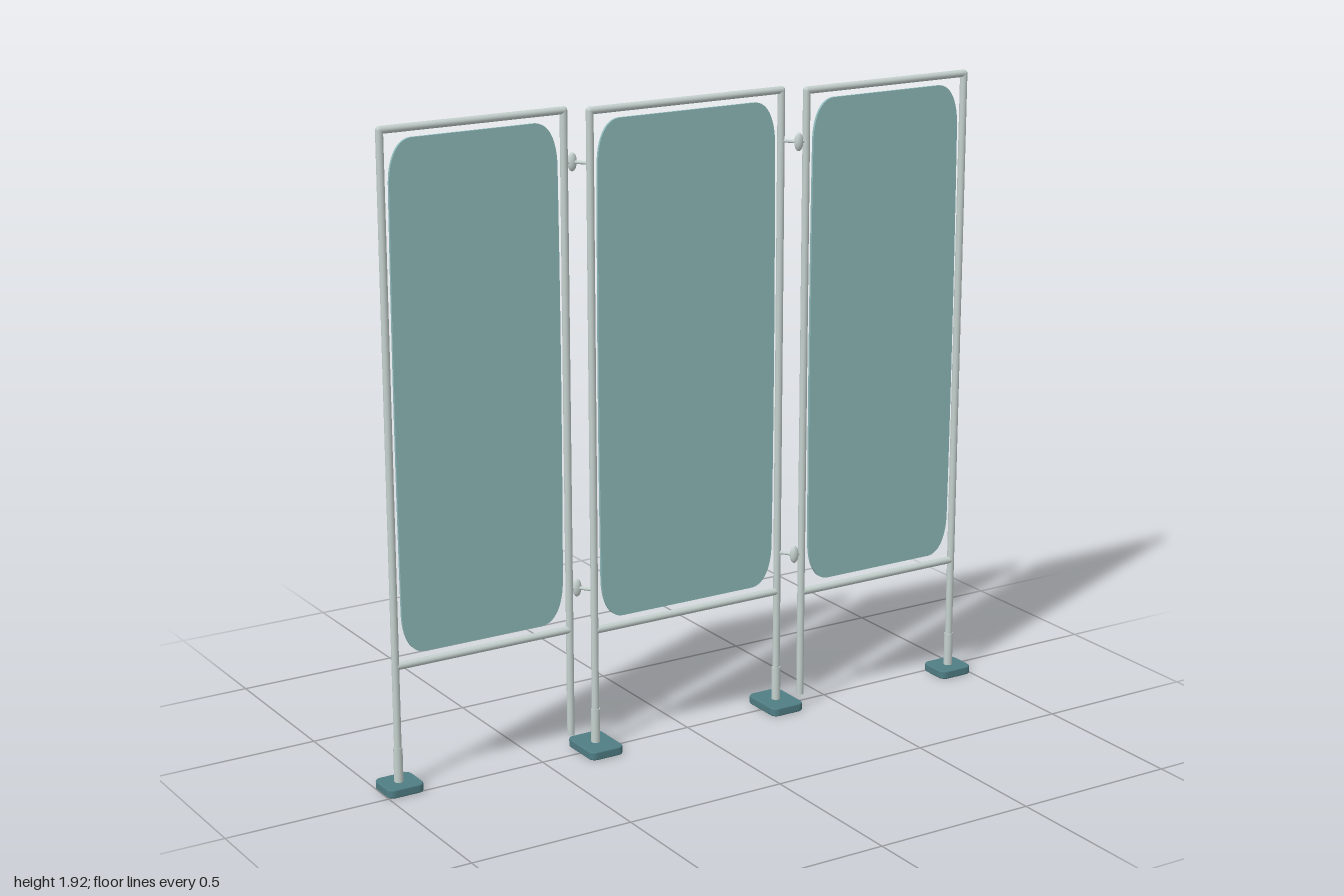
import * as THREE from 'three';

const metal = new THREE.MeshStandardMaterial({ color: 0xc4d0cd });
const cloth = new THREE.MeshStandardMaterial({ color: 0x8fbabb });
const rubber = new THREE.MeshStandardMaterial({ color: 0x4f7d84 });

const R = 0.011, TOP = 1.908, LOW = 0.375;

function add(parent, name, geometry, material, x = 0, y = 0, z = 0) {
  const mesh = new THREE.Mesh(geometry, material);
  mesh.name = name;
  mesh.position.set(x, y, z);
  parent.add(mesh);
  return mesh;
}

// Round rod between two points
function rod(parent, name, a, b, radius, material = metal) {
  const from = new THREE.Vector3(...a), to = new THREE.Vector3(...b);
  const dir = to.clone().sub(from);
  const mesh = add(parent, name, new THREE.CylinderGeometry(radius, radius, dir.length(), 20), material);
  mesh.position.copy(from).add(to).multiplyScalar(0.5);
  mesh.quaternion.setFromUnitVectors(new THREE.Vector3(0, 1, 0), dir.normalize());
  return mesh;
}

// Rectangle with soft corners, rx wide and ry high, and slightly bowed sides
function softRect(w, h, rx, ry, bow = 0) {
  const s = new THREE.Shape(), x = w / 2, y = h / 2;
  s.moveTo(-x + rx, -y);
  s.lineTo(x - rx, -y);
  s.bezierCurveTo(x - rx * 0.4, -y, x - bow, -y + ry * 0.4, x - bow, -y + ry);
  s.quadraticCurveTo(x + bow, 0, x - bow, y - ry);
  s.bezierCurveTo(x - bow, y - ry * 0.4, x - rx * 0.4, y, x - rx, y);
  s.lineTo(-x + rx, y);
  s.bezierCurveTo(-x + rx * 0.4, y, -x + bow, y - ry * 0.4, -x + bow, y - ry);
  s.quadraticCurveTo(-x - bow, 0, -x + bow, -y + ry);
  s.bezierCurveTo(-x + bow, -y + ry * 0.4, -x + rx * 0.4, -y, -x + rx, -y);
  return s;
}

// Frame of two posts and two rails, with the screen inside
function panel(name, x0, x1, z, bottom0, bottom1) {
  const g = new THREE.Group();
  g.name = name;
  for (const [x, bottom] of [[x0, bottom0], [x1, bottom1]]) {
    rod(g, 'post', [x, bottom, z], [x, TOP, z], R);
    add(g, 'postCap', new THREE.SphereGeometry(R, 20, 12), metal, x, TOP, z);
    // wider sleeve where a post meets its foot
    if (bottom < 0.04) rod(g, 'footSleeve', [x, 0.02, z], [x, 0.13, z], 0.0135);
  }
  for (const y of [LOW, TOP]) rod(g, 'rail', [x0, y, z], [x1, y, z], R);
  const w = x1 - x0 - 0.04, h = 1.475, t = 0.008;
  const geo = new THREE.ExtrudeGeometry(softRect(w, h, 0.075, 0.13, 0.003),
    { depth: t, bevelEnabled: false, curveSegments: 16 });
  geo.translate(0, 0, -t / 2);
  add(g, 'screen', geo, cloth, (x0 + x1) / 2, 1.1425, z);
  return g;
}

// Flat foot plate with rounded corners and eased edges
function foot(parent, x, z, w, d) {
  const b = 0.004;
  const geo = new THREE.ExtrudeGeometry(softRect(w - 2 * b, d - 2 * b, 0.018, 0.018),
    { depth: 0.026 - 2 * b, bevelThickness: b, bevelSize: b, bevelSegments: 3, curveSegments: 8 });
  geo.rotateX(-Math.PI / 2);
  add(parent, 'foot', geo, rubber, x, b, z);
}

export function createModel() {
  const model = new THREE.Group();
  model.name = 'foldingScreen';
  model.add(
    panel('rightPanel', -0.945, -0.378, -0.045, 0.02, 0.045),
    panel('middlePanel', -0.32, 0.32, 0, 0.02, 0.02),
    panel('leftPanel', 0.378, 0.945, 0.045, 0.045, 0.02),
  );
  for (const s of [-1, 1]) {
    foot(model, s * 0.943, s * 0.045, 0.114, 0.107);
    foot(model, s * 0.32, 0, 0.112, 0.15);
    // Hinge links: knob between the posts with an arm to each side
    for (const y of [0.5, 1.76]) {
      const hinge = new THREE.Group();
      hinge.name = 'hinge';
      const knob = [s * 0.352, y, s * 0.045];
      add(hinge, 'knob', new THREE.SphereGeometry(1, 20, 14), metal, ...knob).scale.set(0.014, 0.027, 0.011);
      rod(hinge, 'arm', [s * 0.32, y, 0], knob, 0.005);
      rod(hinge, 'arm', knob, [s * 0.378, y, s * 0.045], 0.005);
      model.add(hinge);
    }
  }
  return model;
}
